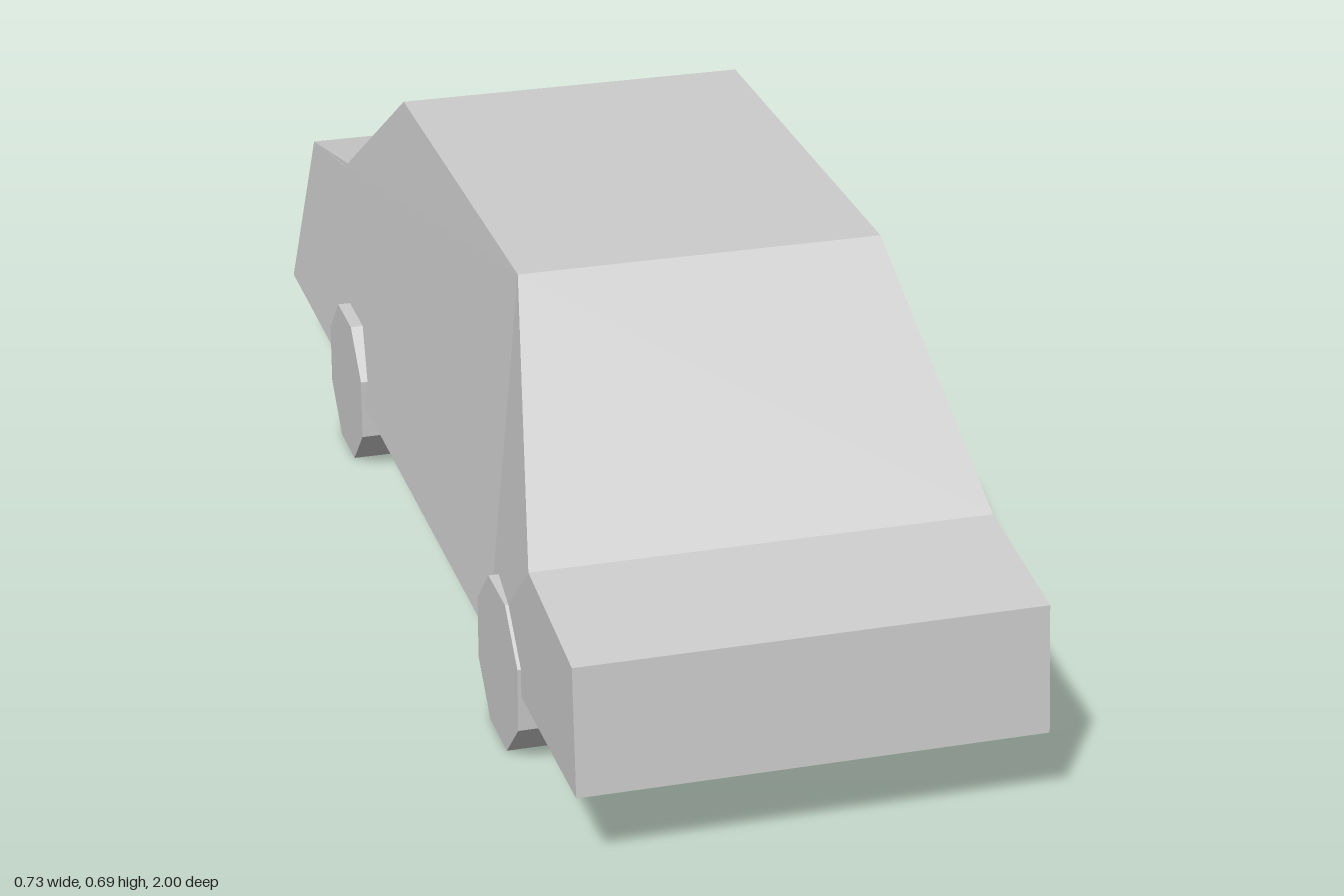
import * as THREE from 'three';

const paint = new THREE.MeshStandardMaterial({ color: 0xcccccc });
paint.name = 'plain grey';

// Body outline on the left half: [half width, y, z], from the front bottom over the roof to the rear bottom
const P = {
  frontBottom: [0.36, 0.13, 1.0],
  hoodFront: [0.36, 0.33, 0.98],
  hoodRear: [0.36, 0.362, 0.735],
  roofFront: [0.287, 0.69, 0.4],
  roofRear: [0.287, 0.69, -0.365],
  bootFront: [0.32, 0.452, -0.7],
  bootRear: [0.325, 0.408, -0.945],
  rearBottom: [0.36, 0.13, -1.0],
};
const sill = [0.36, 0.13, 0.48];
const mirror = ([x, y, z]) => [-x, y, z];

// Flat-faced geometry from convex (or fan-able) polygons
function facetGeometry(polygons) {
  const pos = [];
  for (const p of polygons) {
    for (let i = 1; i < p.length - 1; i++) pos.push(...p[0], ...p[i], ...p[i + 1]);
  }
  const g = new THREE.BufferGeometry();
  g.setAttribute('position', new THREE.Float32BufferAttribute(pos, 3));
  g.computeVertexNormals();
  return g;
}

function addMesh(parent, name, geometry) {
  const mesh = new THREE.Mesh(geometry, paint);
  mesh.name = name;
  parent.add(mesh);
  return mesh;
}

export function createModel() {
  const car = new THREE.Group();
  car.name = 'car';

  // Panels spanning the car's width, one per outline segment
  const body = new THREE.Group();
  body.name = 'body';
  car.add(body);
  const outline = Object.values(P);
  const names = ['nose', 'hood', 'windshield', 'roof', 'rearWindow', 'bootLid', 'tail', 'underside'];
  names.forEach((name, i) => {
    const a = outline[i], b = outline[(i + 1) % outline.length];
    addMesh(body, name, facetGeometry([[a, b, mirror(b), mirror(a)]]));
  });

  // Sides: upright fender, corner triangle, leaning cabin wall
  const side = [
    [P.frontBottom, sill, P.hoodRear, P.hoodFront],
    [sill, P.roofFront, P.hoodRear],
    [sill, P.rearBottom, P.bootRear, P.bootFront, P.roofRear, P.roofFront],
  ];
  addMesh(body, 'leftSide', facetGeometry(side));
  addMesh(body, 'rightSide', facetGeometry(side.map((p) => p.map(mirror).reverse())));

  // Eight-sided wheels standing on a flat
  const apothem = 0.124;
  const tyre = new THREE.CylinderGeometry(apothem / Math.cos(Math.PI / 8), apothem / Math.cos(Math.PI / 8), 0.131, 8)
    .rotateY(Math.PI / 8)
    .rotateZ(Math.PI / 2)
    .toNonIndexed();
  tyre.computeVertexNormals();
  for (const [end, z] of [['front', 0.56], ['rear', -0.521]]) {
    for (const [hand, s] of [['Left', 1], ['Right', -1]]) {
      addMesh(car, `${end}${hand}Wheel`, tyre).position.set(s * 0.3, apothem, z);
    }
  }
  return car;
}
